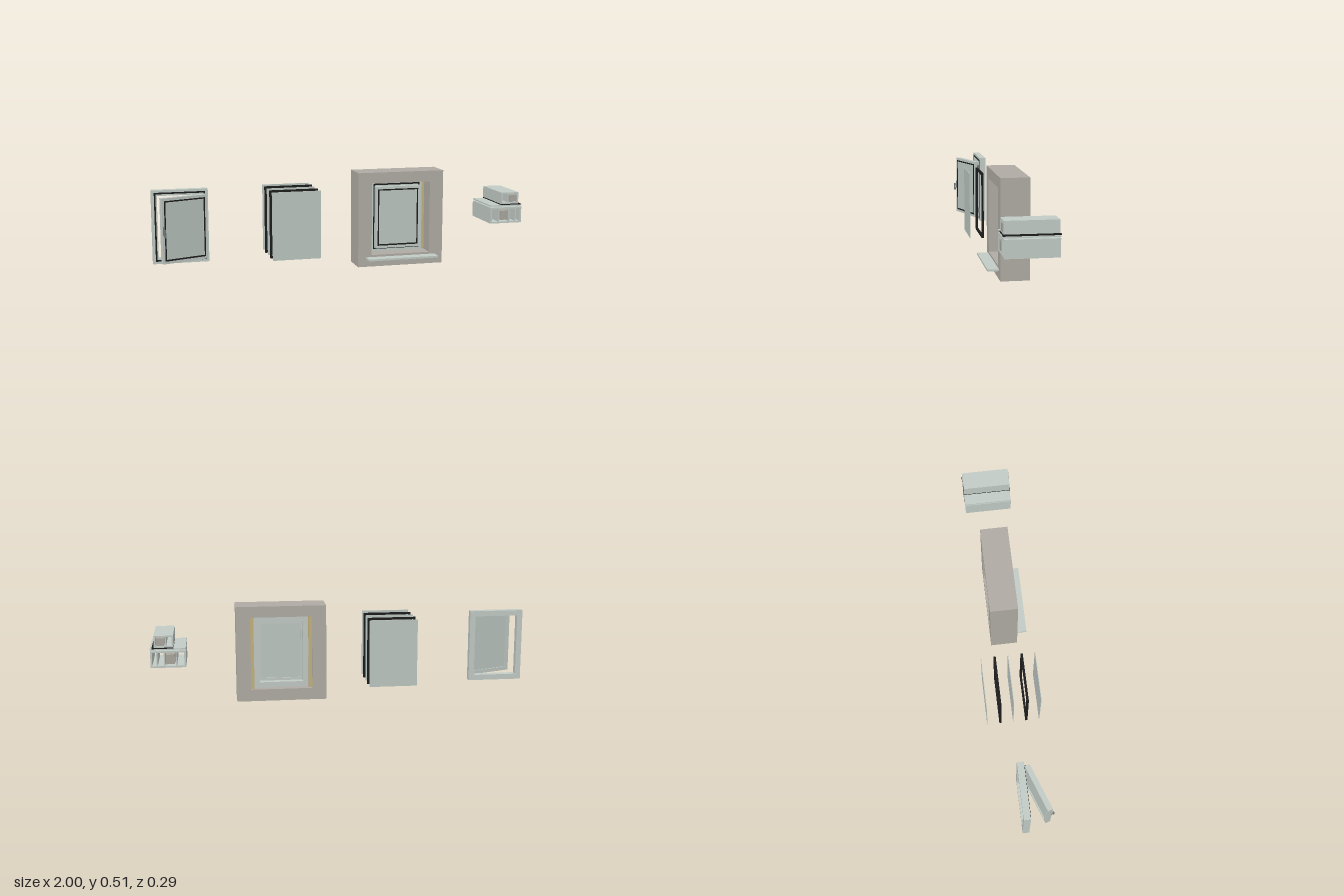
import * as THREE from 'three';

const mat = (name, color, side = THREE.FrontSide) => {
  const m = new THREE.MeshStandardMaterial({ color, side });
  m.name = name;
  return m;
};

export function createModel() {
  const pvc = mat('pale frame', 0xc1cac5);
  const glass = mat('glass', 0xbcc6c1);
  const rubber = mat('black rubber', 0x1c1c1c);
  const stone = mat('wall', 0xafaba3);
  const foam = mat('foam', 0xc2b27c);
  const steel = mat('steel', 0xa9a69e);
  const metal = mat('handle metal', 0x747a78);

  const root = new THREE.Group();

  const add = (parent, name, geo, material, x = 0, y = 0, z = 0) => {
    const m = new THREE.Mesh(geo, material);
    m.name = name;
    m.position.set(x, y, z);
    parent.add(m);
    return m;
  };
  // box from its limits
  const box = (parent, name, material, x0, x1, y0, y1, z0, z1) =>
    add(parent, name, new THREE.BoxGeometry(x1 - x0, y1 - y0, z1 - z0), material,
      (x0 + x1) / 2, (y0 + y1) / 2, (z0 + z1) / 2);

  const rect = (Type, x0, x1, y0, y1) => {
    const s = new Type();
    s.moveTo(x0, y0);
    s.lineTo(x1, y0);
    s.lineTo(x1, y1);
    s.lineTo(x0, y1);
    s.closePath();
    return s;
  };
  // rectangular bar with rectangular through holes, extruded from z0 to z1
  const pierced = (parent, name, material, outer, holes, z0, z1) => {
    const shape = rect(THREE.Shape, ...outer);
    holes.forEach(h => shape.holes.push(rect(THREE.Path, ...h)));
    const geo = new THREE.ExtrudeGeometry(shape, { depth: z1 - z0, bevelEnabled: false });
    return add(parent, name, geo, material, 0, 0, z0);
  };
  // border of width t inside the given limits
  const border = (parent, name, material, x0, x1, y0, y1, t, z0, z1) =>
    pierced(parent, name, material, [x0, x1, y0, y1],
      [[x0 + t, x1 - t, y0 + t, y1 - t]], z0, z1);

  // window: outer frame plus a sash hinged on its +x side
  const windowUnit = (name, cx, z, angle, fittings) => {
    const g = new THREE.Group();
    g.name = name;
    g.position.set(cx, 0, z);
    root.add(g);
    border(g, 'outerFrame', pvc, -0.145, 0.145, 0.065, 0.45, 0.029, -0.035, 0);
    border(g, 'frameGasket', rubber, -0.131, 0.131, 0.078, 0.438, 0.008, -0.001, 0.002);

    const sash = new THREE.Group();
    sash.name = 'sash';
    sash.position.set(0.126, 0, 0.003);
    sash.rotation.y = angle;
    g.add(sash);
    border(sash, 'sashFrame', pvc, -0.252, 0, 0.087, 0.425, 0.02, 0, 0.027);
    border(sash, 'sashGasket', rubber, -0.24, -0.012, 0.101, 0.411, 0.007, 0.02, 0.0285);
    box(sash, 'sashGlass', glass, -0.234, -0.018, 0.106, 0.406, 0.006, 0.023);
    if (fittings) {
      box(sash, 'handlePlate', metal, -0.249, -0.241, 0.235, 0.28, 0.027, 0.031);
      box(sash, 'handleNeck', metal, -0.247, -0.242, 0.257, 0.264, 0.031, 0.042);
      box(sash, 'handleLever', metal, -0.249, -0.241, 0.225, 0.266, 0.038, 0.046);
      for (const y of [0.13, 0.39])
        add(g, 'hinge', new THREE.CylinderGeometry(0.006, 0.006, 0.03, 12), metal, 0.131, y, 0.007);
    }
  };

  // open window
  windowUnit('openWindow', -0.855, 0.01, 0.349, true);

  // exploded triple glazing
  const glazing = new THREE.Group();
  glazing.name = 'glazingLayers';
  root.add(glazing);
  for (let i = -1; i <= 1; i++) {
    const z = -0.002 + i * 0.141;
    box(glazing, 'pane', glass, -0.397, -0.141, 0.077, 0.436, z - 0.0015, z + 0.0015);
  }
  for (const z of [0.069, -0.072])
    border(glazing, 'spacer', rubber, -0.398, -0.14, 0.076, 0.436, 0.011, z - 0.006, z + 0.006);

  // wall section with fitted window
  const wall = new THREE.Group();
  wall.name = 'wallSection';
  root.add(wall);
  pierced(wall, 'wall', stone, [0.08, 0.556, 0, 0.51], [[0.155, 0.481, 0.063, 0.452]], -0.07, 0.077);
  for (const x of [0.155, 0.463])
    box(wall, 'foamStrip', foam, x, x + 0.018, 0.064, 0.451, -0.06, -0.015);
  box(wall, 'sill', pvc, 0.122, 0.514, 0.042, 0.052, 0.06, 0.135);
  windowUnit('fittedWindow', 0.318, -0.004, 0, false);

  // cut profile sample with hollow chambers
  const sample = new THREE.Group();
  sample.name = 'profileSample';
  root.add(sample);
  pierced(sample, 'lowerProfile', pvc, [0.816, 0.998, 0.212, 0.3], [
    [0.825, 0.863, 0.221, 0.291], [0.869, 0.923, 0.221, 0.291],
    [0.929, 0.961, 0.221, 0.291], [0.967, 0.989, 0.221, 0.291],
  ], -0.129, 0.127);
  pierced(sample, 'upperProfile', pvc, [0.878, 0.978, 0.318, 0.381], [
    [0.886, 0.915, 0.326, 0.373], [0.921, 0.97, 0.326, 0.373],
  ], -0.129, 0.127);
  box(sample, 'lowerSteel', steel, 0.873, 0.918, 0.231, 0.281, -0.132, 0.13);
  box(sample, 'upperSteel', steel, 0.925, 0.966, 0.329, 0.367, -0.132, 0.13);
  box(sample, 'flange', pvc, 0.816, 0.98, 0.306, 0.313, -0.129, 0.127);
  box(sample, 'sealStrip', rubber, 0.978, 0.989, 0.312, 0.319, -0.134, 0.132);
  box(sample, 'flangeSeal', rubber, 0.878, 0.978, 0.313, 0.318, -0.132, 0.13);
  box(sample, 'flangeLip', pvc, 0.98, 1.0, 0.306, 0.312, -0.129, 0.127);

  return root;
}
